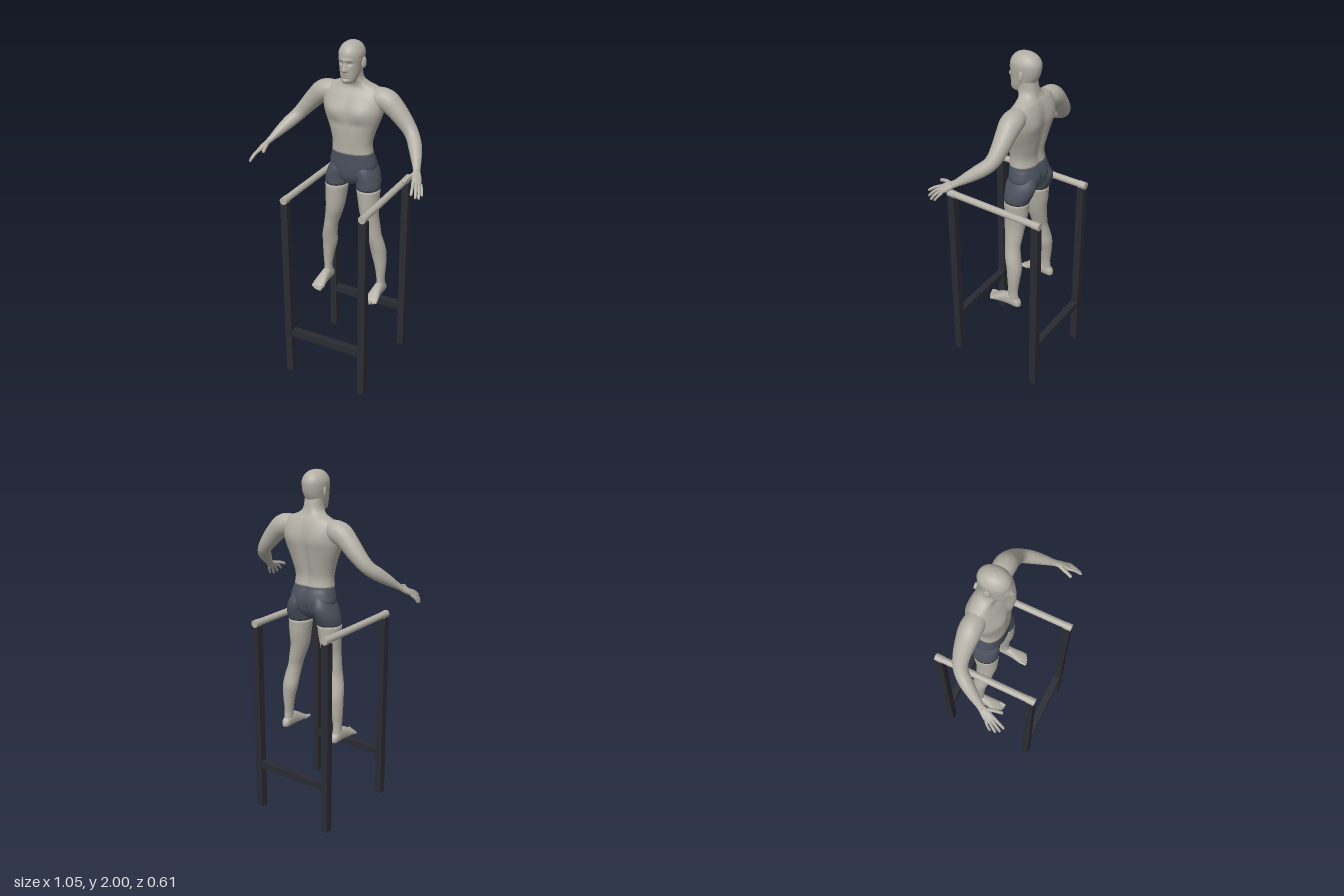
import * as THREE from 'three';

const V = (x, y, z) => new THREE.Vector3(x, y, z);
const mat = (name, color) => { const m = new THREE.MeshStandardMaterial({ color }); m.name = name; return m; };
const UP = V(0, 1, 0), DOWN = V(0, -1, 0), FRONT = V(0, 0, 1), X = V(1, 0, 0);
const bump = (a, b) => Math.exp(-(a * a) - (b * b));

// Smooth interpolation through rings [x, y, z, halfWidth, halfDepth]
function ringAt(rings, t) {
  const n = rings.length - 1, i = Math.min(Math.floor(t), n - 1), f = t - i;
  const g = k => rings[Math.max(0, Math.min(n, k))];
  return rings[0].map((_, c) => {
    const a = g(i - 1)[c], b = g(i)[c], d = g(i + 1)[c], e = g(i + 2)[c];
    return b + 0.5 * f * (d - a + f * (2 * a - 5 * b + 4 * d - e + f * (3 * (b - d) + e - a)));
  });
}

// Skin a closed tube over rings; dir fixes the ring plane, otherwise it follows the path
function loft(rings, { dir, ref = X, from = 0, to = rings.length - 1, seg = 24, sub = 4, power = 2, deform } = {}) {
  const rows = Math.round((to - from) * sub), pos = [], idx = [], p = V(), e = 2 / power;
  const centre = t => V(...ringAt(rings, t).slice(0, 3));
  const push = q => { if (deform) deform(q); pos.push(q.x, q.y, q.z); };
  for (let i = 0; i <= rows; i++) {
    const t = from + (to - from) * i / rows, r = ringAt(rings, t);
    const T = dir ? dir.clone()
      : centre(Math.min(t + 0.05, rings.length - 1)).sub(centre(Math.max(t - 0.05, 0))).normalize();
    const u = ref.clone().addScaledVector(T, -ref.dot(T)).normalize(), v = T.clone().cross(u);
    for (let j = 0; j < seg; j++) {
      const a = j / seg * Math.PI * 2, c = Math.cos(a), s = Math.sin(a);
      p.set(r[0], r[1], r[2])
        .addScaledVector(u, Math.sign(c) * Math.abs(c) ** e * Math.max(r[3], 0.001))
        .addScaledVector(v, Math.sign(s) * Math.abs(s) ** e * Math.max(r[4], 0.001));
      push(p);
    }
  }
  for (let i = 0; i < rows; i++) for (let j = 0; j < seg; j++) {
    const k = (j + 1) % seg, a = i * seg + j, b = i * seg + k;
    idx.push(a, b, a + seg, b, b + seg, a + seg);
  }
  const s0 = (rows + 1) * seg;
  push(centre(from)); push(centre(to));
  for (let j = 0; j < seg; j++) {
    const k = (j + 1) % seg;
    idx.push(s0, k, j, s0 + 1, rows * seg + j, rows * seg + k);
  }
  const g = new THREE.BufferGeometry();
  g.setAttribute('position', new THREE.Float32BufferAttribute(pos, 3));
  g.setIndex(idx);
  g.computeVertexNormals();
  return g;
}

function mirrored(g) {
  const m = g.clone().scale(-1, 1, 1), ix = m.index.array;
  for (let i = 0; i < ix.length; i += 3) [ix[i], ix[i + 1]] = [ix[i + 1], ix[i]];
  m.computeVertexNormals();
  return m;
}

export function createModel() {
  const root = new THREE.Group();
  const skin = mat('warm grey', 0xb3afa5), cloth = mat('slate shorts', 0x4b515d), frame = mat('dark frame', 0x2a2a33);
  const add = (name, g, m, x = 0, y = 0, z = 0) => {
    const mesh = new THREE.Mesh(g, m);
    mesh.name = name; mesh.position.set(x, y, z); root.add(mesh);
    return mesh;
  };
  const pair = (name, g, m) => { add(name + 'Left', g, m); add(name + 'Right', mirrored(g), m); };

  // Parallel bar stand
  for (const s of [-1, 1]) {
    for (const z of [-0.278, 0.278]) {
      add('post', new THREE.BoxGeometry(0.043, 1.138, 0.043), frame, s * 0.241, 0.569, z);
      add('barEnd', new THREE.CylinderGeometry(0.0215, 0.0215, 0.045, 24).rotateX(Math.PI / 2), skin, s * 0.241, 1.156, z * 1.008);
    }
    add('handBar', new THREE.CylinderGeometry(0.0195, 0.0195, 0.6, 24).rotateX(Math.PI / 2), skin, s * 0.241, 1.156, 0);
    add('crossRail', new THREE.BoxGeometry(0.44, 0.042, 0.042), frame, 0, 0.28, s * 0.276);
  }

  // Torso and neck, with chest, shoulder blades, spine and seat modelled in
  const torso = [
    [0, 1.185, -0.06, 0.04, 0.045], [0, 1.23, -0.07, 0.1, 0.078], [0, 1.29, -0.075, 0.138, 0.09],
    [0, 1.34, -0.07, 0.131, 0.086], [0, 1.375, -0.063, 0.121, 0.08], [0, 1.43, -0.06, 0.117, 0.077],
    [0, 1.5, -0.065, 0.134, 0.085], [0, 1.58, -0.07, 0.164, 0.095], [0, 1.64, -0.077, 0.18, 0.096],
    [0, 1.7, -0.085, 0.18, 0.08], [0, 1.745, -0.09, 0.145, 0.059], [0, 1.77, -0.082, 0.085, 0.052],
    [0, 1.8, -0.068, 0.056, 0.055], [0, 1.86, -0.058, 0.052, 0.052]];
  const muscles = p => {
    const ax = Math.abs(p.x), k = Math.min(1, Math.abs(p.z + 0.07) / 0.05);
    if (p.z > -0.07) {
      p.z += k * (0.014 * bump((ax - 0.075) / 0.06, (p.y - 1.62) / 0.045)
        - 0.006 * bump(ax / 0.012, (p.y - 1.6) / 0.09)
        - 0.005 * bump((ax - 0.06) / 0.07, (p.y - 1.55) / 0.02)
        + 0.004 * bump((ax - 0.035) / 0.02, (p.y - 1.46) / 0.06));
    } else {
      p.z += k * (0.016 * bump(ax / 0.022, (p.y - 1.54) / 0.17)
        - 0.008 * bump((ax - 0.09) / 0.045, (p.y - 1.65) / 0.06)
        + 0.014 * bump(ax / 0.014, (p.y - 1.25) / 0.06));
    }
  };
  const body = { dir: UP, seg: 64, sub: 6, power: 2.25, deform: muscles };
  add('torso', loft(torso, { ...body, from: 4 }), skin);
  add('shortsSeat', loft(torso, { ...body, to: 4 }), cloth);

  // Head with brow, eye sockets, nose, lips and chin
  const head = [
    [0, 1.782, -0.012, 0.024, 0.03], [0, 1.795, -0.02, 0.04, 0.05], [0, 1.83, -0.034, 0.052, 0.067],
    [0, 1.87, -0.045, 0.059, 0.08], [0, 1.91, -0.05, 0.065, 0.086], [0, 1.945, -0.051, 0.065, 0.085],
    [0, 1.975, -0.051, 0.051, 0.068], [0, 1.993, -0.05, 0.029, 0.04], [0, 2, -0.05, 0.004, 0.005]];
  const face = p => {
    if (p.z < -0.01) return;
    const ax = Math.abs(p.x);
    p.z += 0.02 * bump(p.x / 0.011, (p.y - 1.858) / 0.013) + 0.01 * bump(p.x / 0.008, (p.y - 1.88) / 0.016)
      + 0.005 * bump(ax / 0.04, (p.y - 1.912) / 0.009) - 0.009 * bump((ax - 0.026) / 0.014, (p.y - 1.893) / 0.01)
      + 0.008 * bump(p.x / 0.018, (p.y - 1.836) / 0.006) + 0.007 * bump(p.x / 0.018, (p.y - 1.823) / 0.005)
      + 0.009 * bump(p.x / 0.02, (p.y - 1.799) / 0.011) + 0.004 * bump((ax - 0.013) / 0.006, (p.y - 1.855) / 0.007);
  };
  add('head', loft(head, { dir: UP, seg: 72, sub: 10, power: 2.1, deform: face }), skin);
  pair('ear', new THREE.SphereGeometry(1, 16, 12).scale(0.008, 0.03, 0.018).rotateY(-0.35).rotateX(-0.15)
    .translate(0.067, 1.886, -0.058), skin);

  // Legs: shorts above the hem, bare skin below
  const leg = [
    [0.07, 1.33, -0.08, 0.04, 0.065], [0.083, 1.27, -0.08, 0.062, 0.089], [0.097, 1.21, -0.072, 0.068, 0.083],
    [0.1, 1.163, -0.062, 0.068, 0.073], [0.105, 1.08, -0.06, 0.061, 0.069], [0.112, 1, -0.056, 0.053, 0.061],
    [0.131, 0.92, -0.06, 0.045, 0.051], [0.143, 0.87, -0.061, 0.041, 0.047], [0.157, 0.8, -0.073, 0.045, 0.046],
    [0.163, 0.74, -0.085, 0.045, 0.045], [0.173, 0.66, -0.087, 0.034, 0.038], [0.177, 0.58, -0.085, 0.024, 0.031],
    [0.178, 0.53, -0.086, 0.024, 0.034], [0.178, 0.49, -0.088, 0.022, 0.033]];
  pair('shortsLeg', loft(leg, { dir: DOWN, to: 3, seg: 36 }), cloth);
  pair('leg', loft(leg, { dir: DOWN, from: 3, seg: 36 }), skin);

  // Feet and toes
  const foot = [
    [0.178, 0.495, -0.136, 0.01, 0.012], [0.178, 0.501, -0.12, 0.023, 0.028], [0.178, 0.514, -0.075, 0.027, 0.042],
    [0.178, 0.508, -0.025, 0.03, 0.036], [0.179, 0.497, 0.015, 0.036, 0.025], [0.18, 0.489, 0.042, 0.037, 0.016],
    [0.18, 0.484, 0.058, 0.032, 0.008]];
  pair('foot', loft(foot, { dir: FRONT, power: 2.3 }), skin);
  const digit = (pts, r) => loft([...pts.map((p, i) => [...p, r * (1 - 0.08 * i), r * (1 - 0.08 * i)]),
    [...pts.at(-1).map((c, i) => c + (c - pts.at(-2)[i]) * 0.2), r * 0.3, r * 0.3]], { seg: 10, sub: 3 });
  for (let i = 0; i < 5; i++) {
    const x = 0.151 + i * 0.0152, r = i ? 0.0085 - i * 0.0004 : 0.0115, tip = 0.082 - i * i * 0.0016;
    pair('toe', digit([[x, 0.488, 0.03], [x, 0.487, (tip + 0.035) / 2], [x, 0.472 + r, tip - 0.004]], r), skin);
  }

  // Arms, reaching out, down and forward
  const across = V(0.74, -0.45, -0.49).normalize();
  const arm = [
    [0.1, 1.7, -0.085, 0.045, 0.05], [0.155, 1.695, -0.088, 0.058, 0.06], [0.2, 1.681, -0.09, 0.061, 0.061],
    [0.245, 1.643, -0.091, 0.055, 0.054], [0.29, 1.595, -0.09, 0.048, 0.048], [0.33, 1.55, -0.083, 0.041, 0.042],
    [0.36, 1.515, -0.064, 0.038, 0.038], [0.39, 1.482, -0.025, 0.037, 0.036], [0.421, 1.443, 0.028, 0.03, 0.028],
    [0.444, 1.411, 0.072, 0.022, 0.019], [0.455, 1.396, 0.095, 0.021, 0.016]];
  pair('arm', loft(arm, { ref: across, seg: 32 }), skin);

  // Hands
  const palm = [
    [0.449, 1.405, 0.082, 0.019, 0.015], [0.457, 1.393, 0.1, 0.022, 0.015], [0.47, 1.376, 0.128, 0.028, 0.014],
    [0.481, 1.362, 0.152, 0.027, 0.011], [0.485, 1.356, 0.162, 0.02, 0.007]];
  pair('palm', loft(palm, { ref: across, power: 2.4 }), skin);
  const fingers = [
    [[0.463, 1.371, 0.158], [0.477, 1.355, 0.198], [0.485, 1.332, 0.23]],
    [[0.476, 1.364, 0.155], [0.493, 1.343, 0.19], [0.503, 1.313, 0.217]],
    [[0.488, 1.357, 0.148], [0.505, 1.332, 0.177], [0.514, 1.303, 0.197]],
    [[0.498, 1.352, 0.136], [0.513, 1.33, 0.155], [0.52, 1.308, 0.17]]];
  fingers.forEach((f, i) => pair('finger', digit(f, i === 3 ? 0.0075 : 0.009), skin));
  pair('thumb', digit([[0.452, 1.393, 0.11], [0.438, 1.389, 0.148], [0.432, 1.383, 0.172], [0.426, 1.373, 0.195]], 0.0115), skin);

  return root;
}
